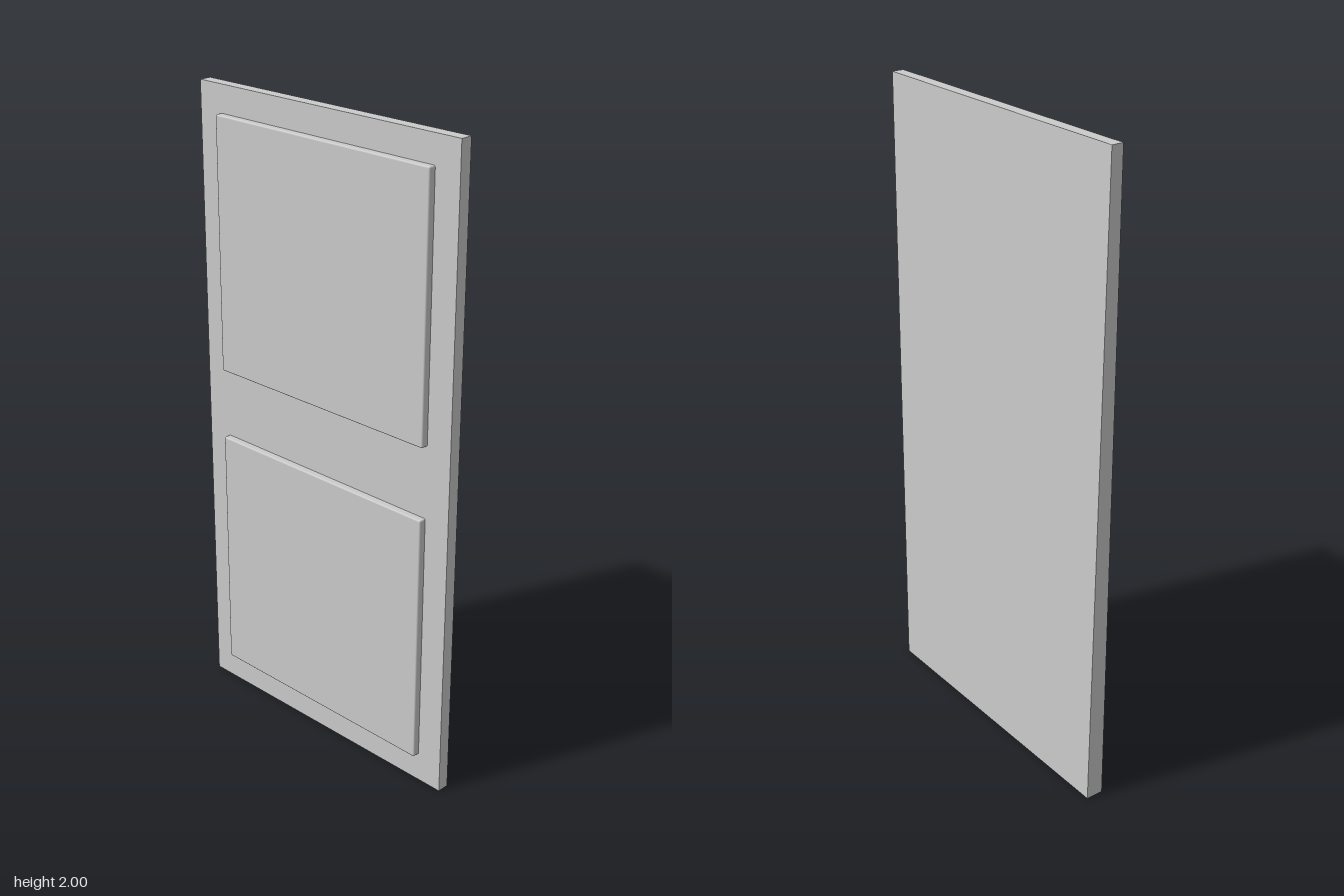
import * as THREE from 'three';
import { RoundedBoxGeometry } from 'three/addons/geometries/RoundedBoxGeometry.js';

const material = new THREE.MeshStandardMaterial({ color: 0xcccccc });

// Door slab: its plain face swells outward toward the bottom back corner
function createSlab() {
  const height = 2, depth = 0.99, inner = -0.018, outer = 0.02, warp = 0.018;
  const geometry = new THREE.BoxGeometry(outer - inner, height, depth, 1, 8, 8);
  geometry.translate((inner + outer) / 2, height / 2, 0);
  const p = geometry.attributes.position;
  for (let i = 0; i < p.count; i++) {
    if (p.getX(i) < 0) continue;
    const down = 1 - p.getY(i) / height;
    const back = 0.5 - p.getZ(i) / depth;
    p.setX(i, outer + warp * down * back);
  }
  geometry.computeVertexNormals();
  const slab = new THREE.Mesh(geometry, material);
  slab.name = 'doorSlab';
  return slab;
}

// Raised panel with softened edges, its rear sunk into the slab
function createPanel(name, bottom, top) {
  const face = -0.04, thickness = 0.04;
  const geometry = new RoundedBoxGeometry(thickness, top - bottom, 0.82, 2, 0.005);
  const panel = new THREE.Mesh(geometry, material);
  panel.position.set(face + thickness / 2, (top + bottom) / 2, 0);
  panel.name = name;
  return panel;
}

export function createModel() {
  const door = new THREE.Group();
  door.name = 'door';
  door.add(
    createSlab(),
    createPanel('lowerPanel', 0.092, 0.895),
    createPanel('upperPanel', 1.12, 1.915),
  );
  return door;
}
